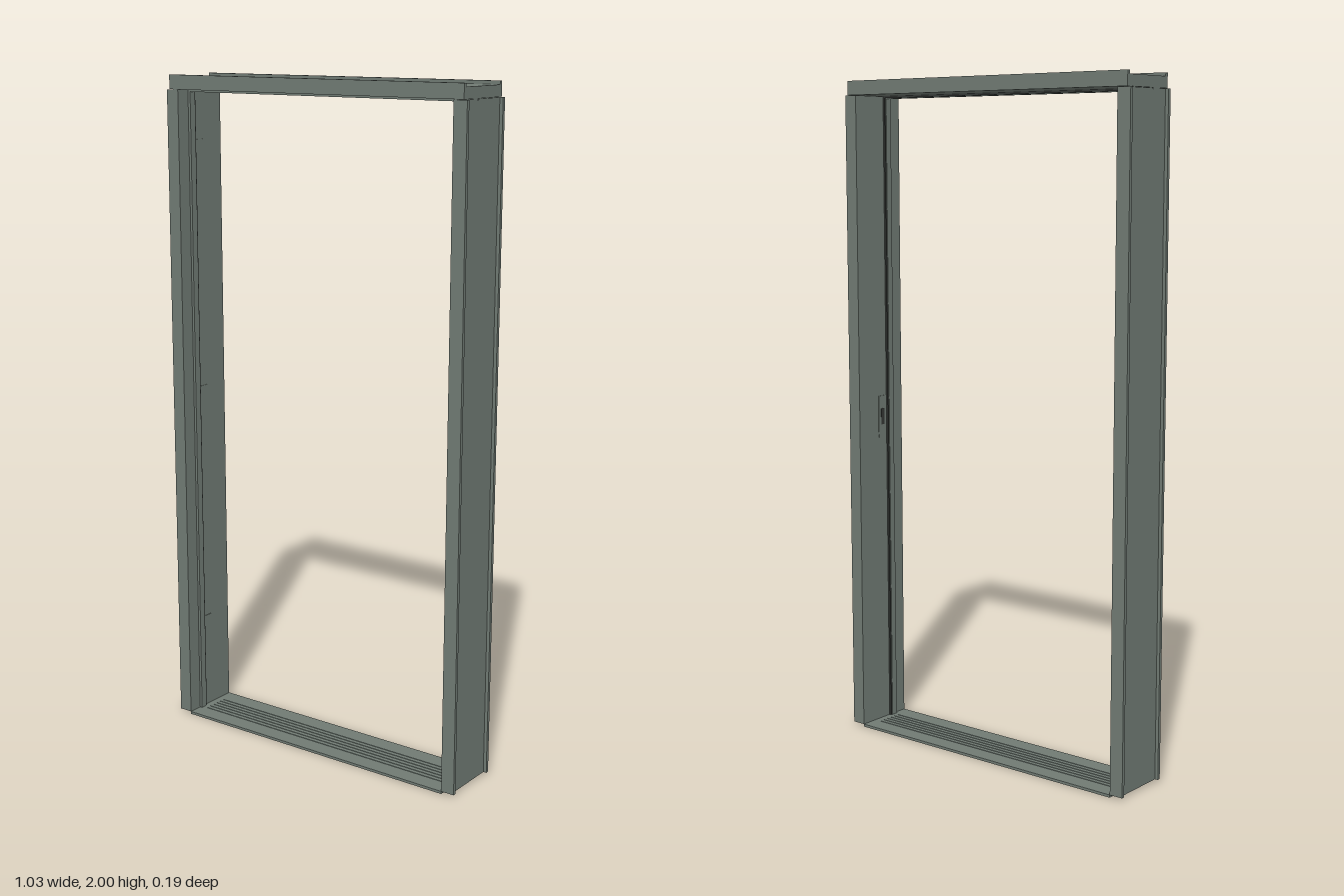
import * as THREE from 'three';

export function createModel() {
  const model = new THREE.Group();
  model.name = 'doorFrame';
  const steel = new THREE.MeshStandardMaterial({ name: 'greyGreenSteel', color: 0x707a73 });
  const rubber = new THREE.MeshStandardMaterial({ name: 'darkRubber', color: 0x343735 });

  const add = (name, geometry, material, parent = model) => {
    const mesh = new THREE.Mesh(geometry, material);
    mesh.name = name;
    parent.add(mesh);
    return mesh;
  };
  const box = (name, size, pos, material = steel) =>
    add(name, new THREE.BoxGeometry(...size), material).position.set(...pos);

  // Cross-section: u runs from the wall side into the opening, v is depth
  const section = (points) => new THREE.Shape(points.map(([u, v]) => new THREE.Vector2(u, v)));
  const frameSection = section([
    [0, -0.095], [0.042, -0.095], [0.042, 0.03], [0.05, 0.03], [0.05, 0.05],
    [0.042, 0.05], [0.042, 0.095], [0, 0.095], [0, 0.085], [0.01, 0.085],
    [0.01, -0.085], [0, -0.085],
  ]);
  const gasketSection = section([[0.042, 0.025], [0.048, 0.025], [0.048, 0.03], [0.042, 0.03]]);

  // Run both sections along one side of the opening
  const addSide = (name, length, origin, inward, along) => {
    const side = new THREE.Group();
    side.name = name;
    const basis = new THREE.Matrix4().makeBasis(inward, new THREE.Vector3(0, 0, 1), along);
    basis.setPosition(...origin);
    const extrude = (shape) =>
      new THREE.ExtrudeGeometry(shape, { depth: length, bevelEnabled: false }).applyMatrix4(basis);
    add(name + 'Profile', extrude(frameSection), steel, side);
    add(name + 'Gasket', extrude(gasketSection), rubber, side);
    model.add(side);
  };
  const v = (x, y, z) => new THREE.Vector3(x, y, z);
  const bottom = 0.008, top = 1.957;
  addSide('leftJamb', top - bottom, [0.515, bottom, 0], v(-1, 0, 0), v(0, 1, 0));
  addSide('rightJamb', top - bottom, [-0.515, top, 0], v(1, 0, 0), v(0, -1, 0));
  addSide('header', 1.01, [0.505, 2, 0], v(0, -1, 0), v(-1, 0, 0));

  // Threshold with fine anti-slip ribs
  box('threshold', [0.946, 0.008, 0.19], [0, 0.004, 0]);
  for (let i = 0; i < 6; i++) {
    box('thresholdRib', [0.9, 0.002, 0.004], [0, 0.0085, -0.04 + i * 0.016]);
  }

  // Hinge plates on the right jamb, each with a thin knuckle slot
  for (const y of [0.24, 0.99, 1.74]) {
    box('hingePlate', [0.003, 0.14, 0.034], [-0.4725, y, 0.006]);
    box('hingeSlot', [0.004, 0.14, 0.004], [-0.4725, y, 0.023], rubber);
  }

  // Strike plate on the left jamb
  box('strikePlate', [0.003, 0.13, 0.034], [0.4725, 0.98, 0.006]);
  box('latchOpening', [0.004, 0.05, 0.014], [0.4725, 0.98, 0.006], rubber);

  return model;
}
